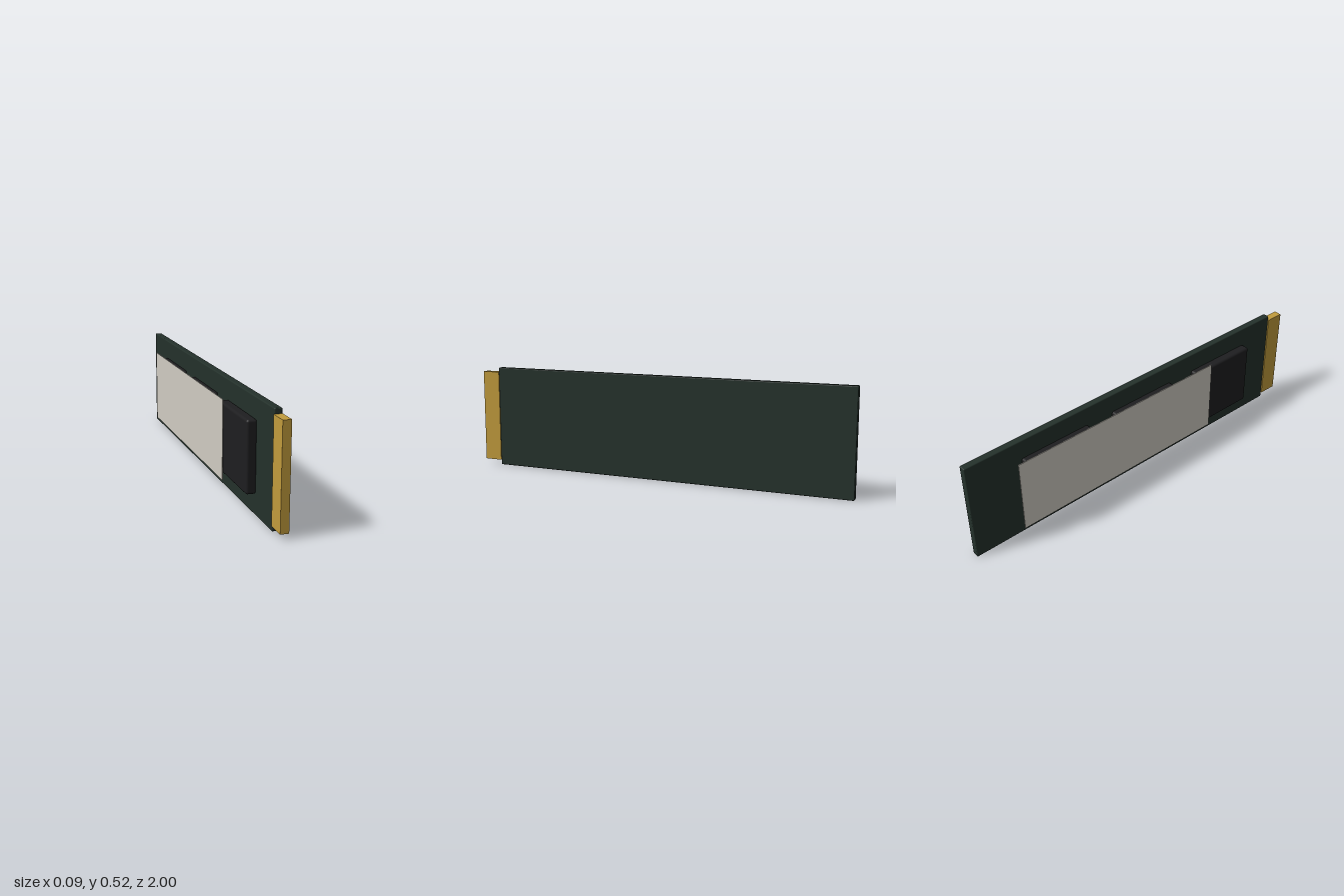
import * as THREE from 'three';
import { RoundedBoxGeometry } from 'three/addons/geometries/RoundedBoxGeometry.js';

// Box given by its [min, max] extents; rounded edges when radius > 0
function block(name, color, [x0, x1], [y0, y1], [z0, z1], radius = 0) {
  const size = [x1 - x0, y1 - y0, z1 - z0];
  const geometry = radius > 0
    ? new RoundedBoxGeometry(...size, 3, radius)
    : new THREE.BoxGeometry(...size);
  const mesh = new THREE.Mesh(geometry, new THREE.MeshStandardMaterial({ color }));
  mesh.name = name;
  mesh.position.set((x0 + x1) / 2, (y0 + y1) / 2, (z0 + z1) / 2);
  return mesh;
}

export function createModel() {
  const model = new THREE.Group();
  model.name = 'memoryModule';

  // Upright circuit board
  model.add(block('circuitBoard', 0x24312b, [0.01, 0.045], [0, 0.524], [-1, 0.905], 0.005));

  // Gold contact strip on the front end
  model.add(block('contactStrip', 0xc19b3c, [0.007, 0.046], [0.025, 0.5], [0.905, 1]));

  // Three chips in a row along the right side of the board
  for (const z of [-0.525, -0.002, 0.522]) {
    model.add(block('chip', 0x1e1e20, [-0.035, 0.014], [0.097, 0.429], [z - 0.189, z + 0.189], 0.012));
  }

  // Thin label plate over the chips
  model.add(block('label', 0xd0ccc2, [-0.046, -0.042], [0.073, 0.453], [-0.765, 0.425]));

  return model;
}
